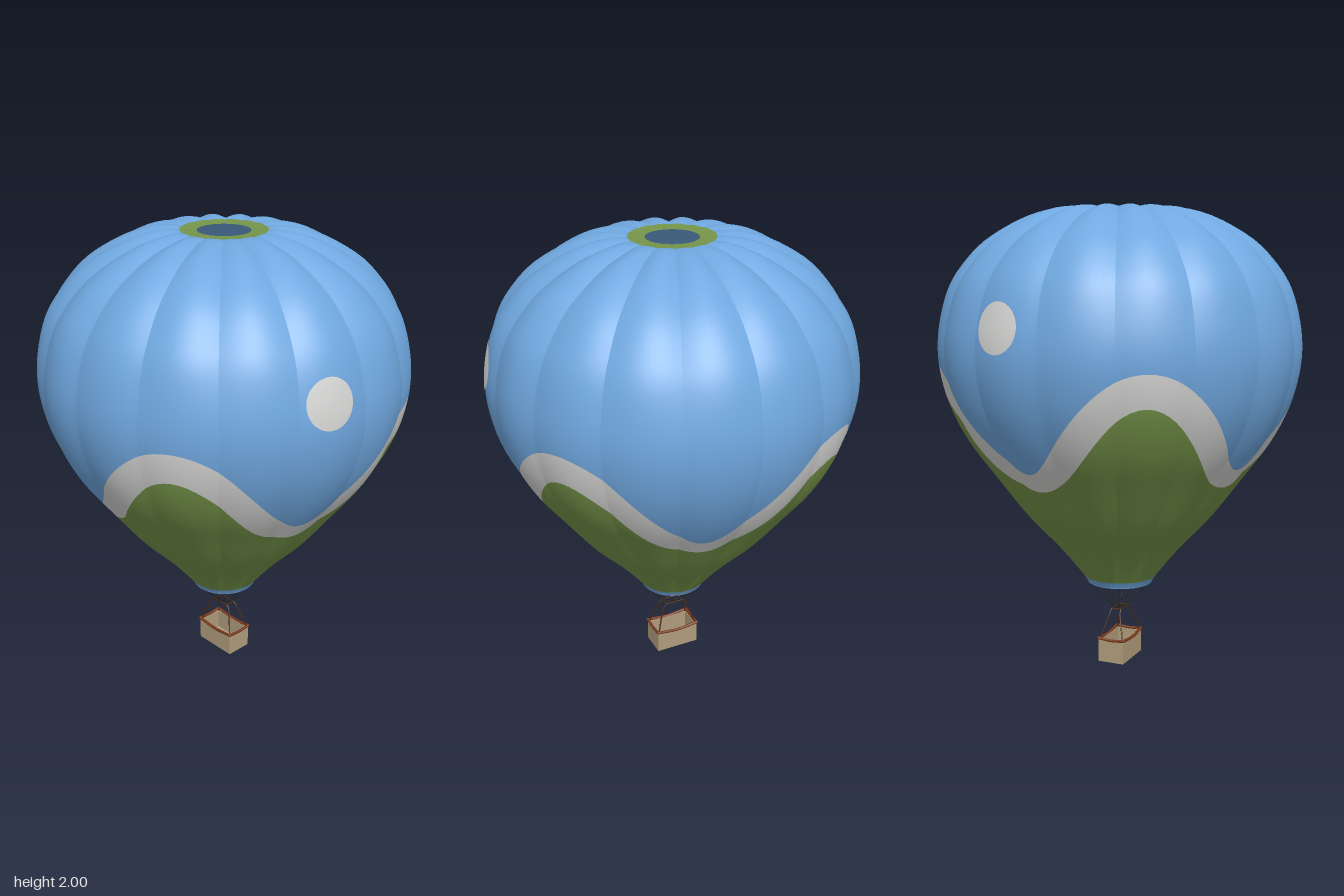
import * as THREE from 'three';

const mat = (name, color, side = THREE.FrontSide) => {
  const m = new THREE.MeshStandardMaterial({ color, side });
  m.name = name;
  return m;
};
const V = (x, y, z) => new THREE.Vector3(x, y, z);
const GORES = 16;

// Envelope profile (radius, height) from mouth to crown opening
const pts = [
  [0.143, 0.355], [0.16, 0.385], [0.274, 0.537], [0.404, 0.68], [0.537, 0.855], [0.65, 1.01],
  [0.724, 1.155], [0.763, 1.29], [0.774, 1.41], [0.758, 1.53], [0.718, 1.655], [0.655, 1.752],
  [0.56, 1.848], [0.405, 1.938], [0.25, 1.986], [0.18, 1.993], [0.11, 1.991],
];
const profile = new THREE.SplineCurve(pts.map(([r, y]) => new THREE.Vector2(r, y)));
const knot = (i) => i / (pts.length - 1);

// Curve parameter at a given height (the profile rises steadily below the crown)
function tAtY(y) {
  let lo = 0, hi = knot(14);
  for (let i = 0; i < 30; i++) {
    const mid = (lo + hi) / 2;
    if (profile.getPoint(mid).y < y) lo = mid; else hi = mid;
  }
  return lo;
}

// Point on the envelope: each gore bulges outward between its seams, most at the shoulder
function surface(phi, t, lift = 0) {
  const p = profile.getPoint(t), d = profile.getTangent(t);
  const full = THREE.MathUtils.lerp(0.011, 0.02, THREE.MathUtils.smoothstep(p.y, 1.35, 1.8));
  const amp = full * THREE.MathUtils.smoothstep(p.x, 0.13, 0.33);
  const b = amp * Math.abs(Math.sin(phi * GORES / 2)) + lift;
  const r = p.x + d.y * b;
  return V(r * Math.sin(phi), p.y - d.x * b, r * Math.cos(phi));
}

// Wavy colour border, four waves around the envelope
function wave(phi, mid, amp, k) {
  const c = Math.cos(4 * (phi - THREE.MathUtils.degToRad(31.5)));
  return mid + amp * (c + k * (c * c - 1));
}

// One gore, with bands of rows for each colour
function goreGeometry(index) {
  const cols = 10, bandRows = [2, 24, 5, 32, 3];
  const pos = [], idx = [], geo = new THREE.BufferGeometry();
  for (let i = 0; i <= cols; i++) {
    const phi = (index + i / cols) * Math.PI * 2 / GORES;
    const breaks = [0, knot(1), tAtY(wave(phi, 1.035, 0.184, 0.3)),
      tAtY(wave(phi, 1.139, 0.209, -0.12)), knot(15), 1];
    bandRows.forEach((n, b) => {
      for (let j = b ? 1 : 0; j <= n; j++) {
        pos.push(...surface(phi, THREE.MathUtils.lerp(breaks[b], breaks[b + 1], j / n)).toArray());
      }
    });
  }
  const stride = bandRows.reduce((a, n) => a + n, 1);
  let row = 0;
  bandRows.forEach((n, b) => {
    const start = idx.length;
    for (let j = row; j < row + n; j++) {
      for (let i = 0; i < cols; i++) {
        const a = i * stride + j, c = a + stride;
        idx.push(a, c, c + 1, a, c + 1, a + 1);
      }
    }
    geo.addGroup(start, idx.length - start, b);
    row += n;
  });
  geo.setAttribute('position', new THREE.Float32BufferAttribute(pos, 3));
  geo.setIndex(idx);
  geo.computeVertexNormals();
  return geo;
}

// Round patch laid onto the +x side of the envelope
function spotGeometry(zc, yc, radius) {
  const rings = 6, seg = 40, pos = [], idx = [];
  for (let k = 0; k <= rings; k++) {
    for (let s = 0; s <= seg; s++) {
      const a = s / seg * Math.PI * 2, q = radius * k / rings;
      const t = tAtY(yc + q * Math.sin(a)), z = zc - q * Math.cos(a);
      pos.push(...surface(Math.acos(z / (profile.getPoint(t).x + 0.012)), t, 0.003).toArray());
      if (k < rings && s < seg) {
        const i = k * (seg + 1) + s, o = i + seg + 1;
        idx.push(i, o, o + 1);
        if (k) idx.push(i, o + 1, i + 1);
      }
    }
  }
  const geo = new THREE.BufferGeometry();
  geo.setAttribute('position', new THREE.Float32BufferAttribute(pos, 3));
  geo.setIndex(idx);
  geo.computeVertexNormals();
  return geo;
}

export function createModel() {
  const model = new THREE.Group();
  model.name = 'hotAirBalloon';
  const blue = mat('sky blue fabric', 0x70a8e0, THREE.DoubleSide);
  const green = mat('green fabric', 0x76954a, THREE.DoubleSide);
  const white = mat('white fabric', 0xd6d6d5, THREE.DoubleSide);
  const tan = mat('wicker tan', 0xb09c7c);
  const red = mat('rim leather', 0x7a3a1c);
  const brown = mat('frame brown', 0x4a2c1a);
  const dark = mat('rope black', 0x25231f);

  const add = (parent, name, geo, material, x = 0, y = 0, z = 0) => {
    const m = new THREE.Mesh(geo, material);
    m.name = name;
    m.position.set(x, y, z);
    parent.add(m);
    return m;
  };
  const group = (name) => {
    const g = new THREE.Group();
    g.name = name;
    model.add(g);
    return g;
  };
  const tube = (parent, name, points, radius, material, sides = 6) =>
    add(parent, name, new THREE.TubeGeometry(new THREE.CatmullRomCurve3(points), points.length > 2 ? 16 : 1, radius, sides), material);

  // Envelope
  const envelope = group('envelope');
  for (let i = 0; i < GORES; i++) {
    add(envelope, 'gore' + (i + 1), goreGeometry(i), [blue, green, white, blue, green]);
  }
  const spot = spotGeometry(0.178, 1.506, 0.098);
  add(envelope, 'leftSpot', spot, white);
  add(envelope, 'rightSpot', spot, white).rotation.y = Math.PI;

  // Basket: open box with thin walls
  const basket = group('basket');
  const W = 0.102, D = 0.06, H = 0.098, T = 0.008;
  add(basket, 'floor', new THREE.BoxGeometry(2 * W, T, 2 * D), tan, 0, T / 2, 0);
  for (const s of [-1, 1]) {
    add(basket, 'longWall', new THREE.BoxGeometry(2 * W, H, T), tan, 0, H / 2, s * (D - T / 2));
    add(basket, 'endWall', new THREE.BoxGeometry(T, H, 2 * D), tan, s * (W - T / 2), H / 2, 0);
    // Sagging padded rim
    tube(basket, 'longRim', [V(-W, 0.107, s * D), V(0, 0.097, s * D), V(W, 0.107, s * D)], 0.0065, red, 8);
    tube(basket, 'endRim', [V(s * W, 0.107, -D), V(s * W, 0.102, 0), V(s * W, 0.107, D)], 0.0065, red, 8);
    for (const e of [-1, 1]) {
      add(basket, 'rimCorner', new THREE.SphereGeometry(0.0068, 10, 8), red, s * W, 0.107, e * D);
    }
  }

  // Burner frame: bent uprights and a small top rectangle
  const frame = group('burnerFrame');
  for (const sx of [-1, 1]) {
    for (const sz of [-1, 1]) {
      tube(frame, 'upright', [V(sx * 0.096, 0.1, sz * 0.056), V(sx * 0.076, 0.165, sz * 0.038),
        V(sx * 0.056, 0.218, sz * 0.024), V(sx * 0.042, 0.232, sz * 0.022)], 0.0033, brown);
    }
    tube(frame, 'longBar', [V(-0.044, 0.232, sx * 0.022), V(0.044, 0.232, sx * 0.022)], 0.0033, brown);
    tube(frame, 'crossBar', [V(sx * 0.042, 0.232, -0.022), V(sx * 0.042, 0.232, 0.022)], 0.0033, brown);
  }
  add(frame, 'burner', new THREE.CylinderGeometry(0.006, 0.007, 0.014, 12), dark, 0, 0.229, 0);
  tube(frame, 'burnerBar', [V(-0.042, 0.23, 0), V(0.042, 0.23, 0)], 0.002, dark);

  // Suspension ropes from the frame to the mouth
  const ropes = group('ropes');
  for (let i = 0; i < GORES; i++) {
    const a = i * Math.PI * 2 / GORES, s = Math.sin(a), c = Math.cos(a);
    tube(ropes, 'rope', [V(0.038 * s, 0.234, 0.022 * c), V(0.143 * s, 0.358, 0.143 * c)], 0.0008, dark, 4);
  }
  return model;
}
